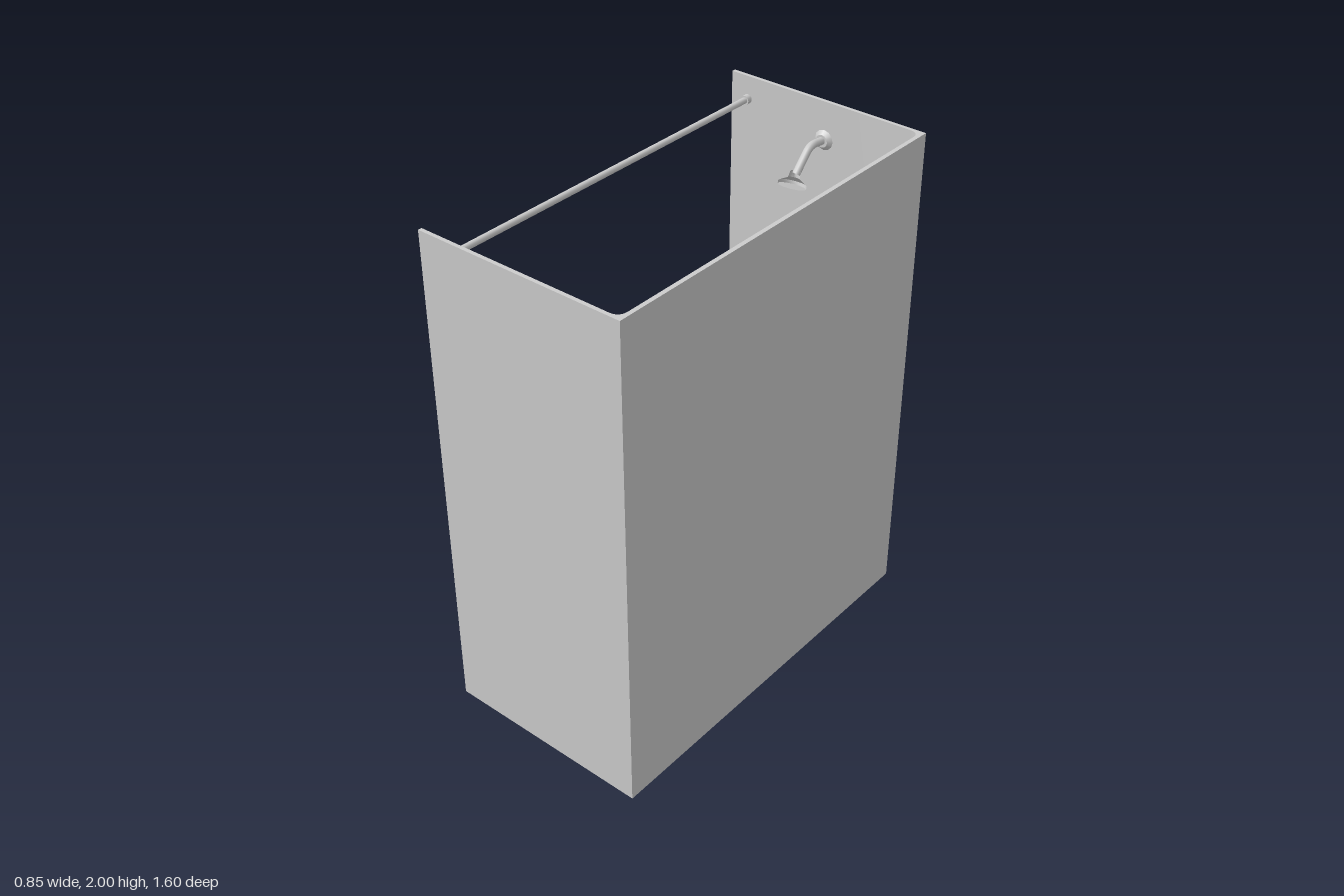
import * as THREE from 'three';
import { toCreasedNormals } from 'three/addons/utils/BufferGeometryUtils.js';
import { RoundedBoxGeometry } from 'three/addons/geometries/RoundedBoxGeometry.js';

const mat = new THREE.MeshStandardMaterial({ color: 0xcccccc });
const thinMat = new THREE.MeshStandardMaterial({ color: 0xcccccc, side: THREE.DoubleSide });
const V = (x, y, z) => new THREE.Vector3(x, y, z);

// Points round a rectangle with rounded corners, as [x, z]
function roundedLoop(cx, cz, hx, hz, r, n = 4) {
  const pts = [];
  [[1, 1], [-1, 1], [-1, -1], [1, -1]].forEach(([sx, sz], q) => {
    for (let i = 0; i <= n; i++) {
      const a = (q + i / n) * Math.PI / 2;
      pts.push([cx + sx * (hx - r) + r * Math.cos(a), cz + sz * (hz - r) + r * Math.sin(a)]);
    }
  });
  return pts;
}

// Skin joining loops of equal length, each { y, pts }
function loft(loops) {
  const n = loops[0].pts.length, pos = [], index = [];
  loops.forEach(({ y, pts }) => pts.forEach(([x, z]) => pos.push(x, y, z)));
  for (let i = 0; i < loops.length - 1; i++) {
    for (let j = 0; j < n; j++) {
      const a = i * n + j, b = i * n + (j + 1) % n;
      index.push(a, a + n, b, b, a + n, b + n);
    }
  }
  const g = new THREE.BufferGeometry();
  g.setAttribute('position', new THREE.Float32BufferAttribute(pos, 3));
  g.setIndex(index);
  g.computeVertexNormals();
  return toCreasedNormals(g, 0.6);
}

// Plan shape drawn in (x, -z), raised from y0 by h
function slab(shape, y0, h) {
  const g = new THREE.ExtrudeGeometry(shape, { depth: h, bevelEnabled: false, curveSegments: 6 });
  g.rotateX(-Math.PI / 2).translate(0, y0, 0);
  return toCreasedNormals(g, 0.6);
}

function pipe(points, r, bend = 0.03) {
  const path = new THREE.CurvePath();
  let last = points[0];
  for (let i = 1; i < points.length - 1; i++) {
    const p = points[i];
    const a = p.clone().add(points[i - 1].clone().sub(p).setLength(bend));
    const b = p.clone().add(points[i + 1].clone().sub(p).setLength(bend));
    path.add(new THREE.LineCurve3(last, a));
    path.add(new THREE.QuadraticBezierCurve3(p.clone().lerp(a, 1), p, b));
    last = b;
  }
  path.add(new THREE.LineCurve3(last, points[points.length - 1]));
  return new THREE.TubeGeometry(path, 32, r, 10, false);
}

export function createModel() {
  const root = new THREE.Group();
  root.name = 'bathAndShower';
  const add = (name, geo, x = 0, y = 0, z = 0, m = mat, parent = root) => {
    const mesh = new THREE.Mesh(geo, m);
    mesh.name = name;
    mesh.position.set(x, y, z);
    parent.add(mesh);
    return mesh;
  };
  const W = 0.4225, D = 0.8, IX = 0.406, IZ = 0.785, R = 0.04, WALL = -IZ;

  // Three-sided surround with rounded inner corners
  const surround = new THREE.Shape();
  surround.moveTo(-W, -D).lineTo(W, -D).lineTo(W, D).lineTo(-W, D).lineTo(-W, IZ).lineTo(IX - R, IZ);
  surround.quadraticCurveTo(IX, IZ, IX, IZ - R).lineTo(IX, -IZ + R);
  surround.quadraticCurveTo(IX, -IZ, IX - R, -IZ).lineTo(-W, -IZ);
  add('surroundWalls', slab(surround, 0, 2));

  // Tub deck with the basin opening
  const cx = 0.01, cz = -0.005, rim = 0.4;
  const deck = new THREE.Shape();
  deck.moveTo(-0.39, -IZ).lineTo(IX, -IZ).lineTo(IX, IZ).lineTo(-0.39, IZ).closePath();
  const opening = roundedLoop(cx, cz, 0.322, 0.7, 0.11);
  deck.holes.push(new THREE.Path(opening.map(([x, z]) => new THREE.Vector2(x, -z))));
  add('tubDeck', slab(deck, rim - 0.012, 0.012));

  // Basin, from the rim down to a flat floor
  const basin = [[rim, 0.322, 0.7, 0.11], [0.385, 0.314, 0.692, 0.105], [0.13, 0.287, 0.662, 0.09],
    [0.09, 0.277, 0.652, 0.085], [0.07, 0.255, 0.63, 0.08], [0.07, 0.0001, 0.0001, 0]];
  add('basin', loft(basin.map(([y, hx, hz, r]) => ({ y, pts: roundedLoop(cx, cz, hx, hz, r) }))), 0, 0, 0, thinMat);

  // Apron: panelled front with a toe ledge
  const apron = new THREE.Shape();
  [[-0.38, rim], [-0.393, rim], [-0.393, 0.24], [-0.387, 0.232], [-0.387, 0.085], [-0.395, 0.075],
    [-0.395, 0.05], [-0.405, 0.038], [-0.405, 0], [-0.395, 0], [-0.38, 0.06]]
    .forEach(([x, y], i) => (i ? apron.lineTo(x, y) : apron.moveTo(x, y)));
  add('apron', new THREE.ExtrudeGeometry(apron, { depth: 2 * IZ, bevelEnabled: false }), 0, 0, -IZ);

  add('drain', new THREE.CylinderGeometry(0.042, 0.034, 0.02, 5), 0.01, 0.07, -0.455);

  // Curtain rod with end sockets
  add('curtainRod', new THREE.CylinderGeometry(0.012, 0.012, 2 * IZ, 12).rotateX(Math.PI / 2), -0.347, 1.91, 0);
  for (const s of [-1, 1]) {
    add('rodSocket', new THREE.CylinderGeometry(0.018, 0.018, 0.02, 12).rotateX(Math.PI / 2), -0.347, 1.91, s * (IZ - 0.01));
  }

  // Grab bar on the far end wall
  add('grabBar', pipe([V(-0.19, 1.5, IZ), V(-0.19, 1.5, 0.72), V(0.21, 1.5, 0.72), V(0.21, 1.5, IZ)], 0.014, 0.025));

  // Shower arm, flange and tilted head
  const shower = new THREE.Group();
  shower.name = 'shower';
  root.add(shower);
  add('showerFlange', new THREE.CylinderGeometry(0.025, 0.04, 0.015, 12).rotateX(Math.PI / 2), 0.005, 1.85, WALL + 0.007, mat, shower);
  add('showerArm', pipe([V(0.005, 1.85, WALL), V(0.005, 1.86, -0.7), V(0.005, 1.775, -0.62)], 0.015));
  const head = add('showerHead', new THREE.LatheGeometry([[0, 0.035], [0.018, 0.035], [0.022, 0.01], [0.053, -0.008],
    [0.053, -0.02], [0, -0.02]].map(([x, y]) => new THREE.Vector2(x, y)), 12), 0.005, 1.755, -0.605, mat, shower);
  head.geometry = toCreasedNormals(head.geometry, 0.6);
  head.rotation.x = -0.35;

  // Taps and spout
  const taps = new THREE.Group();
  taps.name = 'taps';
  root.add(taps);
  for (const s of [-1, 1]) {
    add('tapPlate', new THREE.CylinderGeometry(0.032, 0.036, 0.012, 12).rotateX(Math.PI / 2), s * 0.095, 0.75, WALL + 0.006, mat, taps);
    add('tapStem', new THREE.CylinderGeometry(0.012, 0.012, 0.03, 8).rotateX(Math.PI / 2), s * 0.095, 0.75, WALL + 0.025, mat, taps);
    add('tapHandle', new THREE.CylinderGeometry(0.026, 0.022, 0.024, 6).rotateX(Math.PI / 2), s * 0.095, 0.75, WALL + 0.045, mat, taps);
  }
  add('spoutFlange', new THREE.CylinderGeometry(0.03, 0.034, 0.012, 12).rotateX(Math.PI / 2), 0.005, 0.56, WALL + 0.006, mat, taps);
  add('spout', pipe([V(0.005, 0.56, WALL), V(0.005, 0.56, -0.67), V(0.005, 0.51, -0.665)], 0.02, 0.025), 0, 0, 0, thinMat, taps);

  // Half-round shelf with toiletries
  const shelfY = 1.1;
  add('shelf', new THREE.CylinderGeometry(0.145, 0.125, 0.02, 16, 1, false, Math.PI, Math.PI), IX, shelfY, -0.38, thinMat);
  [[0.355, -0.44, 0.032, 0.13, 6], [0.322, -0.38, 0.032, 0.1, 6]].forEach(([x, z, r, h, n]) => {
    add('shelfBottle', new THREE.CylinderGeometry(r * 0.85, r, h, n), x, shelfY + 0.01 + h / 2, z);
    add('bottleCap', new THREE.CylinderGeometry(r * 0.4, r * 0.4, 0.025, n), x, shelfY + 0.02 + h, z);
  });
  add('shelfTube', new THREE.BoxGeometry(0.05, 0.09, 0.03), 0.362, shelfY + 0.055, -0.292).rotation.y = -0.4;

  // Soap dish and bar of soap
  const dish = new THREE.Shape();
  dish.moveTo(IX, -0.07).lineTo(0.345, -0.07).lineTo(0.325, -0.045).lineTo(0.325, 0.045).lineTo(0.345, 0.07).lineTo(IX, 0.07);
  add('soapDish', slab(dish, 0.8, 0.025));
  add('soap', new RoundedBoxGeometry(0.045, 0.022, 0.08, 2, 0.01), 0.367, 0.836, 0);

  // Bottles standing on the deck
  add('roundBottle', new THREE.CylinderGeometry(0.042, 0.042, 0.16, 12), -0.295, rim + 0.08, -0.738);
  const square = new THREE.Group();
  square.name = 'squareBottle';
  square.position.set(0.347, rim, -0.735);
  square.rotation.y = 0.35;
  root.add(square);
  add('bottleBody', new THREE.BoxGeometry(0.062, 0.14, 0.062), 0, 0.07, 0, mat, square);
  add('bottleNeck', new THREE.CylinderGeometry(0.012, 0.016, 0.03, 8), 0, 0.155, 0, mat, square);

  return root;
}
